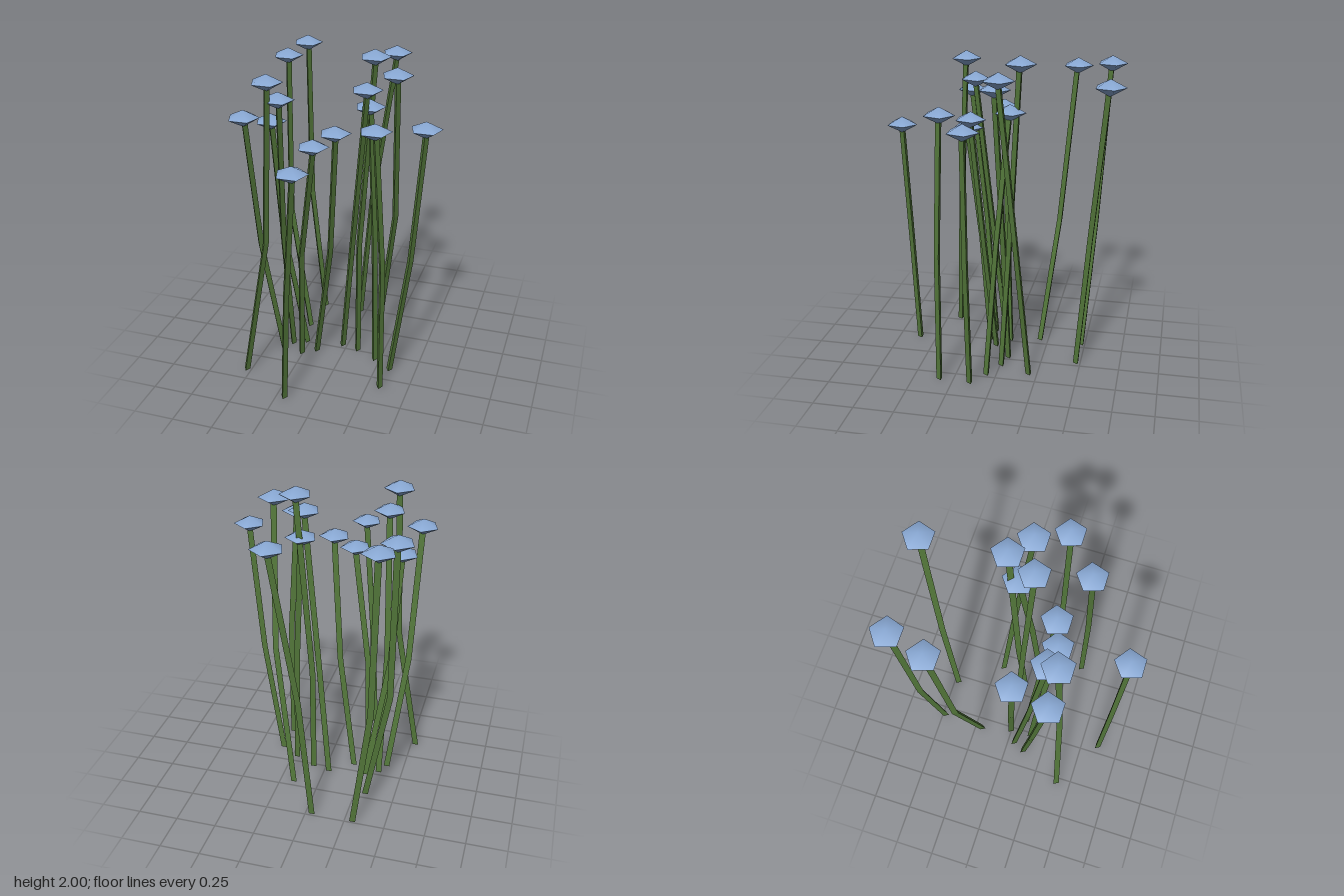
import * as THREE from 'three';
import { mergeGeometries, mergeVertices } from 'three/addons/utils/BufferGeometryUtils.js';

const STEM_R = 0.0215, HEAD_R = 0.096, TOP_H = 0.047, UNDER_H = 0.054;

// Each flower: base [x, z], bend [x, y, z], head [x, y, z]
const FLOWERS = [
  [[-0.04, -0.475], [0.015, 0.85, -0.545], [0.14, 1.84, -0.638]],
  [[-0.30, -0.48], [-0.41, 0.85, -0.54], [-0.44, 1.87, -0.60]],
  [[-0.315, -0.20], [-0.47, 0.82, -0.295], [-0.495, 1.84, -0.383]],
  [[0.08, -0.01], [0.07, 0.75, -0.055], [0.14, 1.953, -0.13]],
  [[0.215, 0.06], [0.185, 0.85, 0.0], [0.13, 1.67, -0.07]],
  [[-0.03, -0.035], [0.04, 0.8, -0.015], [0.135, 1.80, 0.02]],
  [[0.16, -0.20], [0.28, 0.95, -0.13], [0.298, 1.885, -0.035]],
  [[0.335, 0.14], [0.445, 0.8, 0.13], [0.51, 1.64, 0.12]],
  [[-0.175, 0.075], [-0.06, 0.78, 0.13], [0.0, 1.585, 0.195]],
  [[-0.26, 0.13], [-0.23, 0.75, 0.18], [-0.12, 1.505, 0.24]],
  [[-0.27, -0.005], [-0.40, 0.85, 0.045], [-0.44, 1.57, 0.073]],
  [[-0.35, 0.04], [-0.36, 0.85, 0.14], [-0.325, 1.765, 0.235]],
  [[-0.388, 0.118], [-0.485, 0.8, 0.20], [-0.515, 1.66, 0.30]],
  [[-0.53, 0.405], [-0.39, 0.9, 0.35], [-0.365, 1.885, 0.302]],
  [[0.325, 0.335], [0.325, 0.82, 0.33], [0.27, 1.67, 0.315]],
  [[-0.20, 0.608], [-0.16, 0.72, 0.63], [-0.095, 1.51, 0.65]],
];

// Three-sided stem with its ridge to the front; rings are moved to base, bend and head
function stemGeometry(base, bend, head) {
  const geo = new THREE.CylinderGeometry(STEM_R, STEM_R, 2, 3, 2);
  const rings = [[base[0], 0, base[1]], bend, head];
  const pos = geo.attributes.position;
  for (let i = 0; i < pos.count; i++) {
    const [x, y, z] = rings[Math.round(pos.getY(i)) + 1];
    pos.setXYZ(i, pos.getX(i) + x, y, pos.getZ(i) + z);
  }
  const flat = geo.toNonIndexed();
  flat.computeVertexNormals();
  return flat;
}

// Shallow five-sided cone, smooth all the way round including its tip
function smoothCone(height) {
  const cone = new THREE.ConeGeometry(HEAD_R, height, 5, 1, true).translate(0, height / 2, 0);
  cone.deleteAttribute('normal');
  cone.deleteAttribute('uv');
  const smooth = mergeVertices(cone);
  smooth.computeVertexNormals();
  return smooth;
}

// Flower head: two cones meeting at a sharp rim, one corner to the back
function headGeometry() {
  return mergeGeometries([
    smoothCone(TOP_H).rotateY(Math.PI),
    smoothCone(UNDER_H).rotateX(Math.PI),
  ]);
}

export function createModel() {
  const model = new THREE.Group();
  model.name = 'flowerCluster';
  const stemGreen = new THREE.MeshStandardMaterial({ color: 0x53773a });
  stemGreen.name = 'stem green';
  const petalBlue = new THREE.MeshStandardMaterial({ color: 0x8aaad6 });
  petalBlue.name = 'petal blue';
  const headGeo = headGeometry();

  for (const [base, bend, top] of FLOWERS) {
    const flower = new THREE.Group();
    flower.name = 'flower';
    const stem = new THREE.Mesh(stemGeometry(base, bend, top), stemGreen);
    stem.name = 'stem';
    const head = new THREE.Mesh(headGeo, petalBlue);
    head.name = 'flowerHead';
    head.position.set(...top);
    flower.add(stem, head);
    model.add(flower);
  }
  return model;
}
